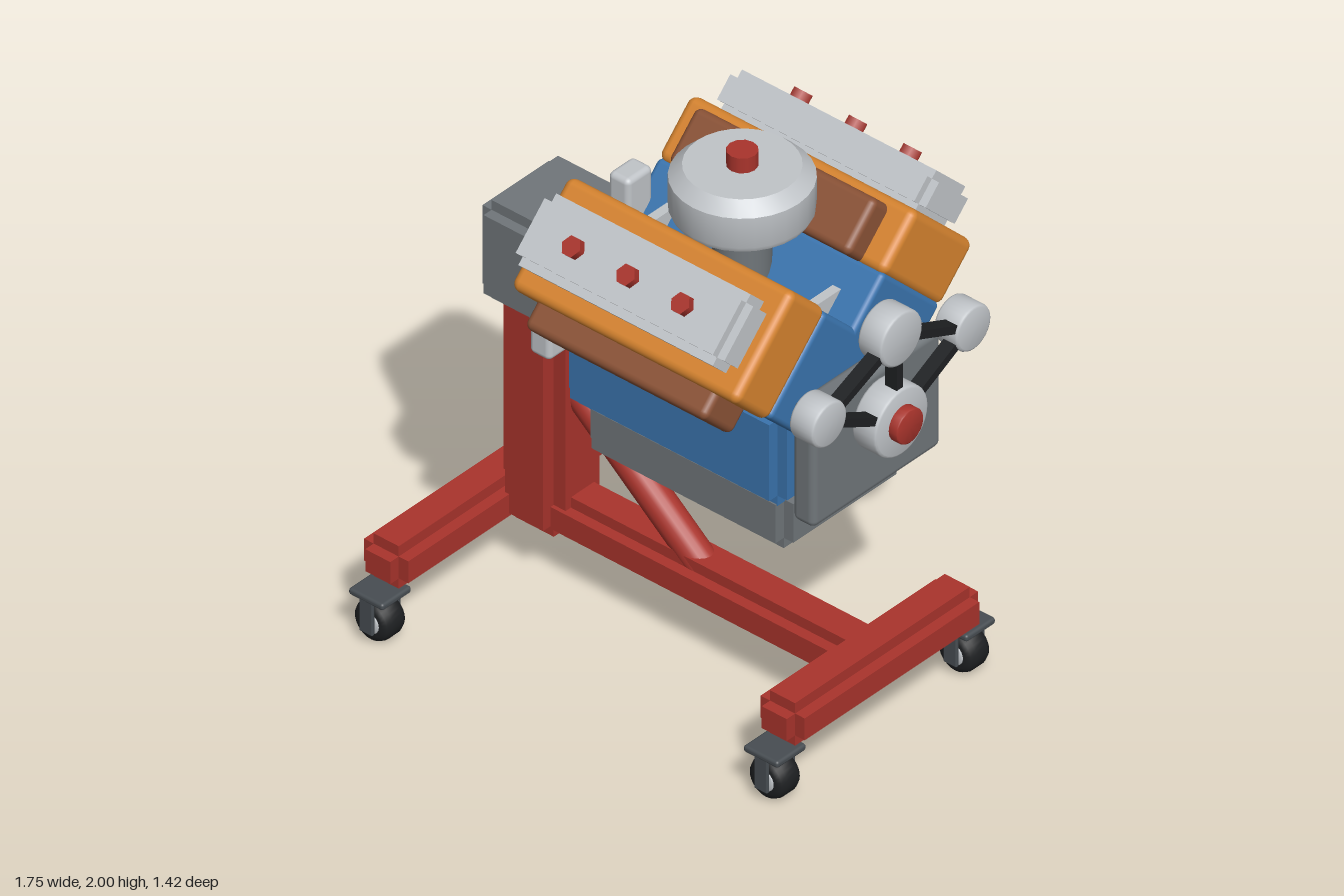
import * as THREE from 'three';
import { mergeGeometries, toCreasedNormals } from 'three/addons/utils/BufferGeometryUtils.js';
import { RoundedBoxGeometry } from 'three/addons/geometries/RoundedBoxGeometry.js';

const material = (name, color) => {
  const m = new THREE.MeshStandardMaterial({ color });
  m.name = name;
  return m;
};

export function createModel() {
  const red = material('stand red', 0xa9342c);
  const blue = material('block blue', 0x3a74ae);
  const orange = material('head orange', 0xd5832f);
  const brown = material('manifold brown', 0x8a5236);
  const grey = material('cast grey', 0x70767a);
  const silver = material('light metal', 0xc0c4c8);
  const slate = material('caster slate', 0x474d52);
  const black = material('rubber black', 0x1e2022);

  const model = new THREE.Group();
  model.name = 'engineOnStand';

  const add = (name, geometry, mat, x = 0, y = 0, z = 0, parent = model) => {
    const mesh = new THREE.Mesh(geometry, mat);
    mesh.name = name;
    mesh.position.set(x, y, z);
    parent.add(mesh);
    return mesh;
  };

  // Box with square steps cut along all edges
  const stepped = (w, h, d, b) => mergeGeometries([
    new THREE.BoxGeometry(w, h - 2 * b, d - 2 * b),
    new THREE.BoxGeometry(w - 2 * b, h, d - 2 * b),
    new THREE.BoxGeometry(w - 2 * b, h - 2 * b, d),
  ]);
  const rounded = (w, h, d, r) => new RoundedBoxGeometry(w, h, d, 3, r);

  // Disc with softened rims, axis along y
  const disc = (r, h, b, sides = 32) => {
    const pts = [[0, -h / 2], [r - b, -h / 2], [r - b * 0.3, -h / 2 + b * 0.3], [r, -h / 2 + b],
      [r, h / 2 - b], [r - b * 0.3, h / 2 - b * 0.3], [r - b, h / 2], [0, h / 2]];
    const g = new THREE.LatheGeometry(pts.map(p => new THREE.Vector2(p[0], p[1])), sides);
    return toCreasedNormals(g, 0.9);
  };
  const discX = (...a) => disc(...a).rotateZ(-Math.PI / 2);

  // Round bar between two points
  const rod = (name, from, to, r, mat, sides = 20) => {
    const a = new THREE.Vector3(...from), dir = new THREE.Vector3(...to).sub(a);
    const mesh = add(name, new THREE.CylinderGeometry(r, r, dir.length(), sides), mat);
    mesh.position.copy(a).addScaledVector(dir, 0.5);
    mesh.quaternion.setFromUnitVectors(new THREE.Vector3(0, 1, 0), dir.normalize());
    return mesh;
  };

  // Stand frame
  add('rearCrossBeam', stepped(0.185, 0.165, 1.3, 0.04), red, -0.785, 0.272, 0);
  add('frontCrossBeam', stepped(0.185, 0.165, 0.91, 0.04), red, 0.705, 0.272, 0);
  add('mainBeam', stepped(1.5, 0.164, 0.19, 0.04), red, -0.04, 0.272, 0);
  add('post', stepped(0.26, 0.92, 0.26, 0.05), red, -0.63, 0.65, 0);
  rod('brace', [-0.6, 0.812, 0], [0.06, 0.262, 0], 0.057, red);

  // Casters
  for (const [x, zEnd] of [[-0.785, 0.64], [0.703, 0.45]]) {
    for (const s of [-1, 1]) {
      const caster = new THREE.Group();
      caster.name = 'caster';
      caster.position.set(x, 0, s * zEnd);
      model.add(caster);
      add('casterPlate', rounded(0.145, 0.025, 0.14, 0.01), slate, 0, 0.175, 0, caster);
      add('casterTyre', disc(0.075, 0.1, 0.025, 28).rotateX(Math.PI / 2), black, 0, 0.075, 0, caster);
      add('casterHub', disc(0.04, 0.108, 0.005, 20).rotateX(Math.PI / 2), silver, 0, 0.075, 0, caster);
      for (const f of [-1, 1])
        add('casterFork', rounded(0.055, 0.13, 0.014, 0.005), slate, 0, 0.108, f * 0.062, caster);
    }
  }

  // Gearbox, output shaft and hand crank
  const axisY = 1.26;
  add('gearbox', stepped(0.34, 0.38, 0.392, 0.038), grey, -0.61, axisY, 0);
  add('outputShaft', discX(0.105, 0.12, 0.01), silver, -0.45, axisY, 0);
  add('shaftCollar', discX(0.12, 0.025, 0.008), grey, -0.435, axisY, 0);
  const cx = -0.63, cz = -0.352;
  rod('crankShaft', [cx, axisY, -0.15], [cx, axisY, cz], 0.036, silver);
  rod('crankArm', [cx, axisY, cz], [cx, 0.995, cz], 0.032, silver);
  add('crankElbow', new THREE.SphereGeometry(0.037, 20, 14), silver, cx, axisY, cz);
  add('crankGrip', disc(0.053, 0.225, 0.012, 24).rotateX(Math.PI / 2), orange, cx, 0.995, -0.458);

  // Flywheel and cross-shaped mounting bracket
  add('flywheel', discX(0.265, 0.095, 0.03, 40), grey, -0.357, axisY, 0);
  add('mountArmVertical', rounded(0.088, 0.87, 0.12, 0.02), silver, -0.299, 1.265, 0);
  add('mountArmHorizontal', rounded(0.088, 0.125, 0.87, 0.02), silver, -0.299, 1.263, 0);

  // Engine block, oil pan and timing cover
  add('engineBlock', stepped(0.915, 0.375, 0.64, 0.04), blue, 0.147, 1.143, 0);
  add('oilPan', stepped(0.85, 0.23, 0.57, 0.04), grey, 0.175, 0.885, 0);
  add('timingCover', rounded(0.093, 0.455, 0.61, 0.025), grey, 0.691, 1.183, 0);

  // Two cylinder banks tilted about the crank axis
  for (const s of [1, -1]) {
    const bank = new THREE.Group();
    bank.name = s > 0 ? 'frontBank' : 'backBank';
    bank.position.set(0.168, axisY, 0);
    bank.rotation.x = s * Math.PI / 4;
    model.add(bank);
    add('cylinderBank', rounded(0.95, 0.4, 0.38, 0.02), blue, 0, 0.19, 0, bank);
    add('cylinderHead', rounded(0.952, 0.23, 0.4, 0.03), orange, 0, 0.496, 0, bank);
    add('valveCover', stepped(0.875, 0.15, 0.255, 0.03), silver, 0, 0.677, 0, bank);
    add('exhaustManifold', rounded(0.76, 0.2, 0.14, 0.025), brown, 0.002, 0.483, 0.22, bank);
    for (const x of [-0.229, 0, 0.229])
      add('coverBolt', new THREE.CylinderGeometry(0.037, 0.037, 0.04, 6).rotateY(Math.PI / 6),
        red, x, 0.762, 0, bank);
  }

  // Intake and air cleaner
  for (const x of [-0.172, 0.51])
    add('intakeRunner', new THREE.BoxGeometry(0.035, 0.08, 0.26), silver, x, 1.553, 0);
  add('intakeNeck', new THREE.CylinderGeometry(0.095, 0.095, 0.32, 24), grey, 0.17, 1.62, 0);
  const cleaner = [[0, 1.755], [0.2, 1.755], [0.225, 1.765], [0.235, 1.785], [0.235, 1.9],
    [0.19, 1.943], [0, 1.943]].map(p => new THREE.Vector2(...p));
  add('airCleaner', toCreasedNormals(new THREE.LatheGeometry(cleaner, 28), 0.6), silver, 0.17, 0, 0);
  add('airCleanerKnob', new THREE.CylinderGeometry(0.052, 0.052, 0.07, 12), red, 0.17, 1.965, 0);

  // Pulleys and belts, given as [y, z, radius]
  const crank = [axisY, 0, 0.127], top = [1.583, 0, 0.1];
  const left = [1.437, 0.343, 0.083], right = [1.437, -0.343, 0.083];
  for (const [y, z, r] of [crank, top, left, right])
    add('pulley', discX(r, 0.1, 0.01), silver, 0.79, y, z);
  add('crankHub', discX(0.064, 0.05, 0.005, 20), red, 0.85, axisY, 0);
  for (const [a, b] of [[crank, left], [left, top], [top, right], [right, crank], [crank, top]]) {
    const dy = b[0] - a[0], dz = b[1] - a[1];
    const belt = add('belt', new THREE.BoxGeometry(0.05, Math.hypot(dy, dz), 0.03), black,
      0.806, (a[0] + b[0]) / 2, (a[1] + b[1]) / 2);
    belt.rotation.x = Math.atan2(dz, dy);
  }
  return model;
}
